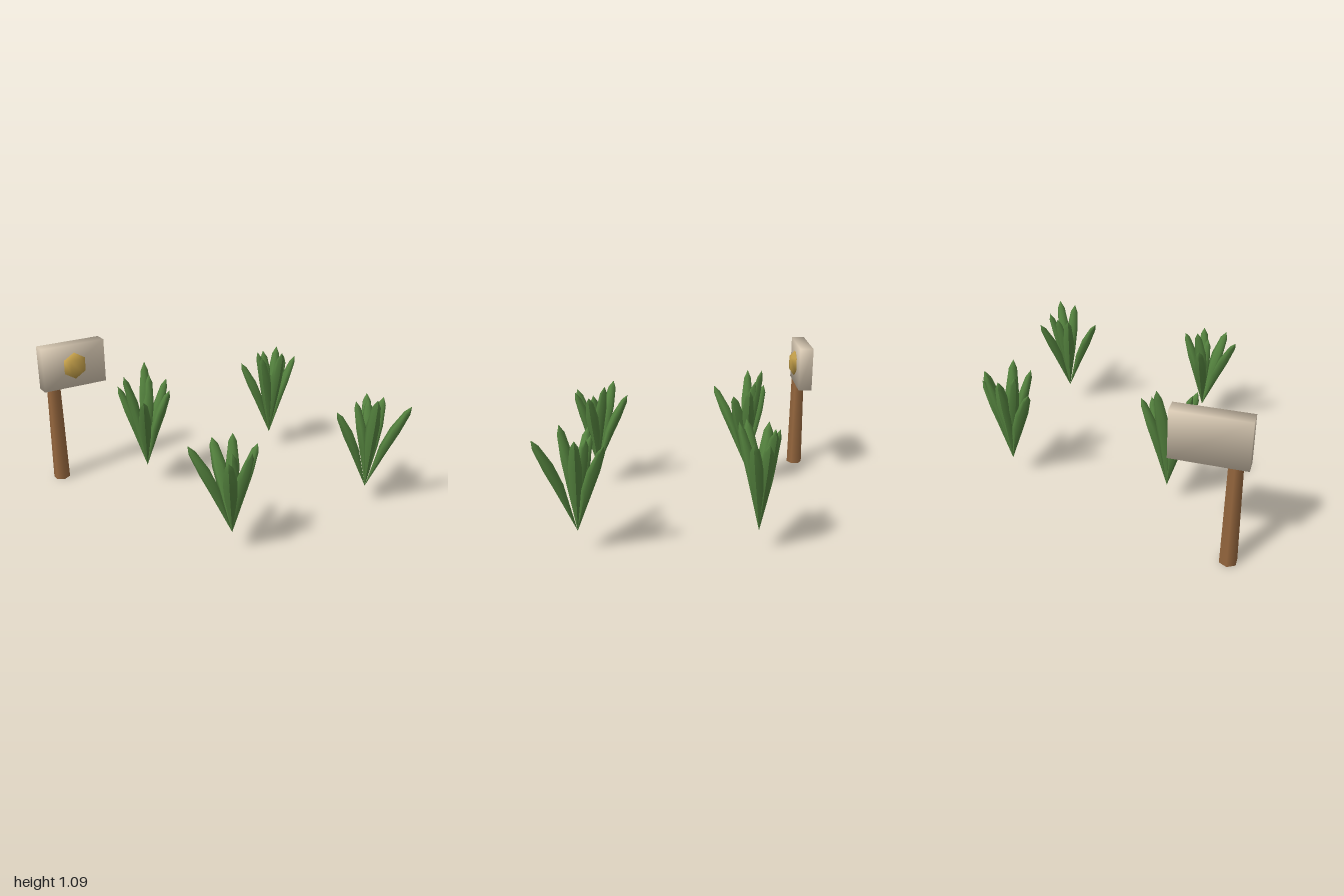
import * as THREE from 'three';

const material = (name, color) => {
  const m = new THREE.MeshStandardMaterial({ color });
  m.name = name;
  return m;
};

// box whose normals point out along the corner diagonals, for soft shading
function softBox(w, h, d) {
  const box = new THREE.BoxGeometry(w, h, d);
  const { position, normal } = box.attributes;
  const n = new THREE.Vector3();
  for (let i = 0; i < position.count; i++) {
    n.fromBufferAttribute(position, i);
    n.set(Math.sign(n.x), Math.sign(n.y), Math.sign(n.z)).normalize();
    normal.setXYZ(i, n.x, n.y, n.z);
  }
  return box;
}

// leaf of unit height: widest above the middle, flattened, and bellied
// towards the plant's centre so that its outer side (+z) stays straight
function leafGeometry() {
  const profile = [[0, 0], [0.045, 0.48], [0.05, 0.7], [0.031, 0.92], [0, 1]]
    .map(([r, y]) => new THREE.Vector2(r, y));
  const leaf = new THREE.LatheGeometry(profile, 6);
  const p = leaf.attributes.position;
  for (let i = 0; i < p.count; i++) {
    p.setZ(i, p.getZ(i) * 0.75 - 0.022 * Math.sin(Math.PI * p.getY(i)));
  }
  leaf.computeVertexNormals();
  return leaf;
}

// base height of every plant, and its leaf tips as [x, y, z]
const BASE_Y = 0.155;
const PLANTS = [
  { name: 'plantBackRight', x: -0.38, z: -0.445, tips: [
    [-0.53, 0.79, -0.59], [-0.54, 0.91, -0.46], [-0.32, 0.96, -0.55], [-0.19, 0.83, -0.45],
    [-0.23, 0.78, -0.33], [-0.52, 0.79, -0.19], [-0.31, 0.87, -0.50]] },
  { name: 'plantBackLeft', x: 0.8, z: -0.445, tips: [
    [0.58, 0.78, -0.56], [0.80, 0.85, -0.56], [0.91, 0.88, -0.52], [0.995, 0.82, -0.38],
    [0.96, 0.80, -0.48], [0.80, 0.90, -0.30], [0.64, 0.87, -0.36], [0.70, 0.87, -0.50]] },
  { name: 'plantFrontRight', x: -0.38, z: 0.738, tips: [
    [-0.38, 0.75, 0.49], [-0.64, 0.80, 0.62], [-0.33, 0.83, 0.66], [-0.21, 0.77, 0.77],
    [-0.34, 0.78, 0.89], [-0.52, 0.76, 0.90], [-0.40, 0.74, 0.76]] },
  { name: 'plantFrontLeft', x: 0.8, z: 0.738, tips: [
    [0.53, 0.78, 0.68], [0.95, 0.79, 0.53], [0.95, 0.83, 0.97], [0.94, 0.82, 0.71],
    [0.76, 0.87, 0.83], [0.75, 0.80, 0.63], [0.85, 0.80, 0.65]] },
];

export function createModel() {
  const model = new THREE.Group();
  const wood = material('brown wood', 0x96673e);
  const board = material('pale board', 0xd9cab4);
  const gold = material('gold', 0xc8a34c);
  const green = material('leaf green', 0x55843f);

  const add = (parent, name, geometry, mat, x, y, z) => {
    const mesh = new THREE.Mesh(geometry, mat);
    mesh.name = name;
    mesh.position.set(x, y, z);
    parent.add(mesh);
    return mesh;
  };

  // sign: tapered six-sided post, board and flattened knob
  const sign = new THREE.Group();
  sign.name = 'sign';
  model.add(sign);
  add(sign, 'post', new THREE.CylinderGeometry(0.05, 0.0625, 0.81, 6), wood, -0.912, 0.405, -0.918);
  add(sign, 'signBoard', softBox(0.5, 0.335, 0.102), board, -0.75, 0.918, -0.918);
  add(sign, 'knob', new THREE.SphereGeometry(0.104, 6, 3), gold, -0.75, 0.92, -0.859)
    .scale.set(0.94, 1, 0.46);

  // plants: leaves fan out from a single point
  const leaf = leafGeometry();
  for (const { name, x, z, tips } of PLANTS) {
    const plant = new THREE.Group();
    plant.name = name;
    plant.position.set(x, BASE_Y, z);
    model.add(plant);
    for (const [tx, ty, tz] of tips) {
      const dir = new THREE.Vector3(tx - x, ty - BASE_Y, tz - z);
      const mesh = add(plant, 'leaf', leaf, green, 0, 0, 0);
      mesh.scale.y = dir.length();
      // lean outwards, then turn to the leaf's side of the plant
      mesh.rotation.set(Math.acos(dir.y / dir.length()), Math.atan2(dir.x, dir.z), 0, 'YXZ');
    }
  }
  return model;
}
